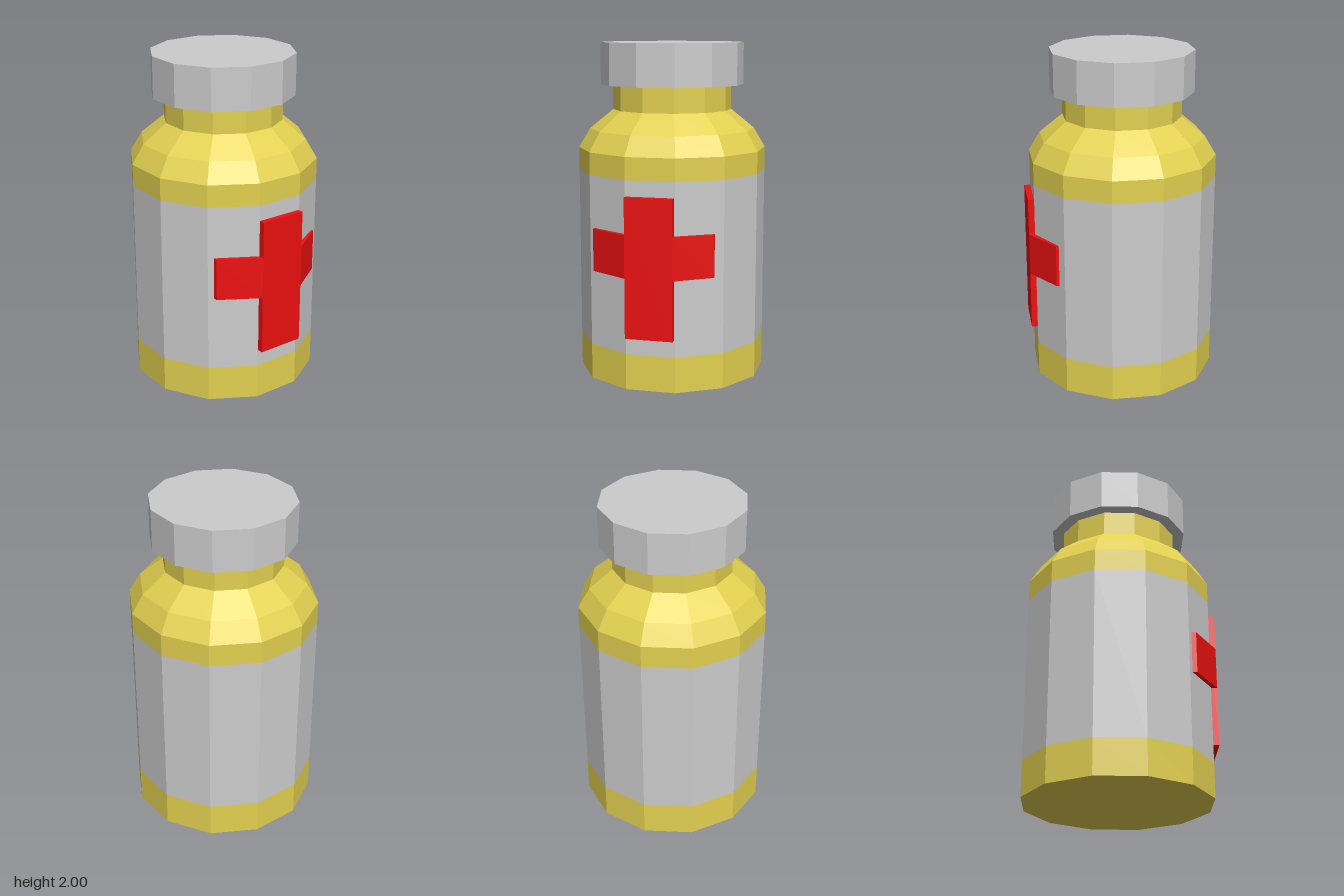
import * as THREE from 'three';

const SIDES = 12;
const material = (color) => new THREE.MeshStandardMaterial({ color, flatShading: true });

export function createModel() {
  const model = new THREE.Group();
  const yellow = material(0xe3d150);
  const grey = material(0xcccccc);
  const red = material(0xec1010);

  const add = (parent, name, geometry, mat) => {
    const mesh = new THREE.Mesh(geometry, mat);
    mesh.name = name;
    parent.add(mesh);
    return mesh;
  };

  // Twelve-sided turned parts with a flat facing the front; profile is [radius, y], bottom to top
  const bottle = new THREE.Group();
  bottle.name = 'bottle';
  bottle.position.z = -0.018;
  model.add(bottle);
  const turned = (name, profile, mat) => add(bottle, name, new THREE.LatheGeometry(
    profile.map(([r, y]) => new THREE.Vector2(r, y)), SIDES, Math.PI / SIDES), mat);

  turned('base', [[0, 0], [0.566, 0], [0.566, 0.215]], yellow);
  turned('label', [[0.566, 0.215], [0.566, 1.237]], grey);
  turned('shoulder', [[0.566, 1.237], [0.566, 1.37], [0.497, 1.485], [0.357, 1.6]], yellow);
  turned('neck', [[0.357, 1.6], [0.357, 1.75]], yellow);
  turned('cap', [[0, 1.75], [0.43, 1.75], [0.43, 2], [0, 2]], grey);

  // Raised cross wrapped around the three front facets; each piece is a plan outline [x, z] raised in y
  const cross = new THREE.Group();
  cross.name = 'cross';
  model.add(cross);
  const raised = (name, outline, bottom, top) => {
    const shape = new THREE.Shape(outline.map(([x, z]) => new THREE.Vector2(x, -z)));
    const geometry = new THREE.ExtrudeGeometry(shape, { depth: top - bottom, bevelEnabled: false });
    geometry.rotateX(-Math.PI / 2).translate(0, bottom, 0);
    return add(cross, name, geometry, red);
  };

  raised('crossUpright', [[-0.142, 0.565], [0.142, 0.565], [0.142, 0.52], [-0.142, 0.52]], 0.318, 1.145);
  for (const [name, side, end] of [['crossLeftArm', 1, 0.352], ['crossRightArm', -1, 0.37]]) {
    raised(name, [[side * 0.142, 0.565], [side * end, 0.427], [side * end, 0.395], [side * 0.142, 0.52]], 0.675, 0.928);
  }

  return model;
}
